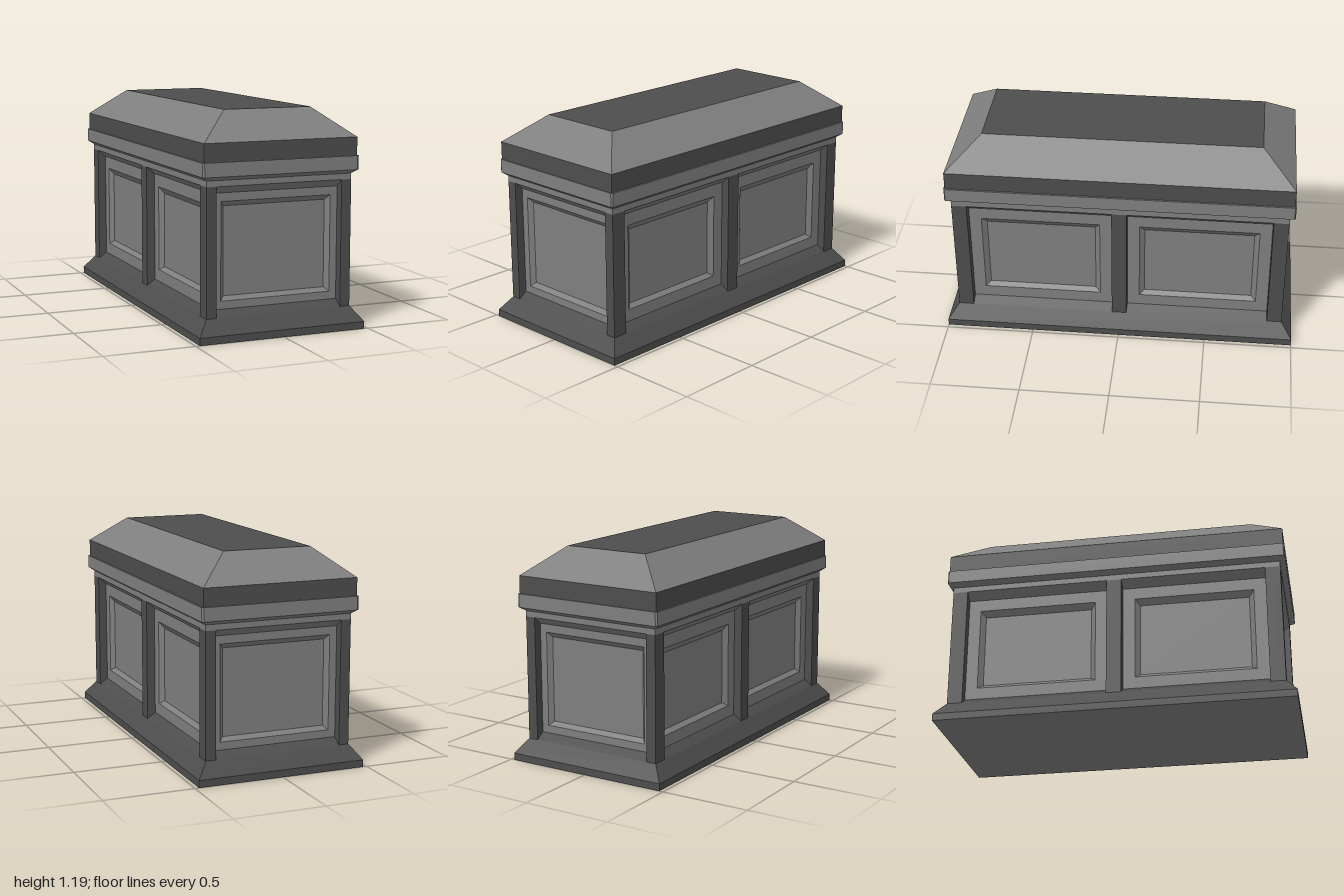
import * as THREE from 'three';

const light = new THREE.MeshStandardMaterial({ color: 0x7f7f7f, flatShading: true });
const dark = new THREE.MeshStandardMaterial({ color: 0x4d4d4d, flatShading: true });

// Skin a run of equal loops with flat faces and cap the last one. isDark(band, edge) picks the
// material: band -1 is the start cap, the band after the last side is the end cap.
function loft(name, loops, capStart, isDark) {
  const faces = [[], []];
  const polygon = (band, edge, p) => {
    const out = faces[isDark(band, edge) ? 1 : 0];
    for (let i = 1; i + 1 < p.length; i++) out.push(...p[0], ...p[i], ...p[i + 1]);
  };
  const last = loops.length - 1, n = loops[0].length;
  for (let k = 0; k < last; k++) {
    for (let i = 0; i < n; i++) {
      const j = (i + 1) % n;
      polygon(k, i, [loops[k][i], loops[k][j], loops[k + 1][j], loops[k + 1][i]]);
    }
  }
  polygon(last, 0, loops[last]);
  if (capStart) polygon(-1, 0, [...loops[0]].reverse());

  const geometry = new THREE.BufferGeometry();
  geometry.setAttribute('position', new THREE.Float32BufferAttribute(faces.flat(), 3));
  geometry.computeVertexNormals();
  geometry.addGroup(0, faces[0].length / 3, 0);
  geometry.addGroup(faces[0].length / 3, faces[1].length / 3, 1);
  const mesh = new THREE.Mesh(geometry, [light, dark]);
  mesh.name = name;
  return mesh;
}

// Solid from stacked rectangles with cut corners: [half width, half length, height, cut x, cut z]
const stack = (name, levels, isDark) => loft(name, levels.map(([x, z, y, cx = 0, cz = 0]) => [
  [x - cx, y, z], [x, y, z - cz], [x, y, cz - z], [x - cx, y, -z],
  [cx - x, y, -z], [-x, y, cz - z], [-x, y, z - cz], [cx - x, y, z]
]), true, isDark);

// Sunken panel from nested rectangles: [half width, bottom, top, depth]; sill and post sides are dark
const panel = (name, rings) => loft(name, rings.map(([w, y0, y1, d]) =>
  [[-w, y0, -d], [w, y0, -d], [w, y1, -d], [-w, y1, -d]]), false,
(band, edge) => band === 0 && edge !== 2);

function post(name, depth, x, y0, y1, z) {
  const mesh = new THREE.Mesh(new THREE.BoxGeometry(0.057, y1 - y0, depth), dark);
  mesh.position.set(x, (y0 + y1) / 2, z);
  mesh.name = name;
  return mesh;
}

export function createModel() {
  const group = new THREE.Group();
  group.name = 'chest';
  const X = 0.417, Z = 0.94; // outer half width and half length of the body
  const LOW = 0.12, HIGH = 0.81;

  // Flared base, moulded rim with clipped corners, hipped lid with a flat dark top
  group.add(
    stack('base', [[0.478, 1, 0], [0.478, 1, 0.04], [X, Z, LOW]], (band) => band >= 0),
    stack('rim', [
      [X, Z, HIGH], [X, Z, 0.842],
      [0.448, 0.97, 0.863, 0.01, 0.007], [0.448, 0.97, 0.938, 0.01, 0.007]
    ], () => false),
    stack('lid', [[0.438, 0.963, 0.938], [0.438, 0.963, 1.037], [0.25, 0.776, 1.19]],
      (band) => band !== 1)
  );

  // Corner posts and the middle post of each long side
  for (const sx of [-1, 1]) {
    const x = sx * (X - 0.0285);
    for (const sz of [-1, 1]) {
      group.add(post('cornerPost', 0.085, x, LOW, HIGH, sz * (Z - 0.0425)));
    }
    group.add(post('middlePost', 0.084, x, LOW, HIGH, 0));
  }

  // End panels and two panels along each long side
  for (const s of [-1, 1]) {
    const end = panel('endPanel', [
      [0.36, LOW, HIGH, 0], [0.358, 0.155, 0.77, 0.047],
      [0.317, 0.198, 0.725, 0.047], [0.294, 0.22, 0.698, 0.071]
    ]);
    end.position.z = s * Z;
    end.rotation.y = s > 0 ? 0 : Math.PI;
    group.add(end);
    for (const half of [-1, 1]) {
      const side = panel('sidePanel', [
        [0.4065, LOW, HIGH, 0], [0.404, 0.155, 0.77, 0.047],
        [0.336, 0.222, 0.702, 0.047], [0.308, 0.244, 0.668, 0.071]
      ]);
      side.position.set(s * X, 0, half * 0.4485);
      side.rotation.y = s * Math.PI / 2;
      group.add(side);
    }
  }
  return group;
}
